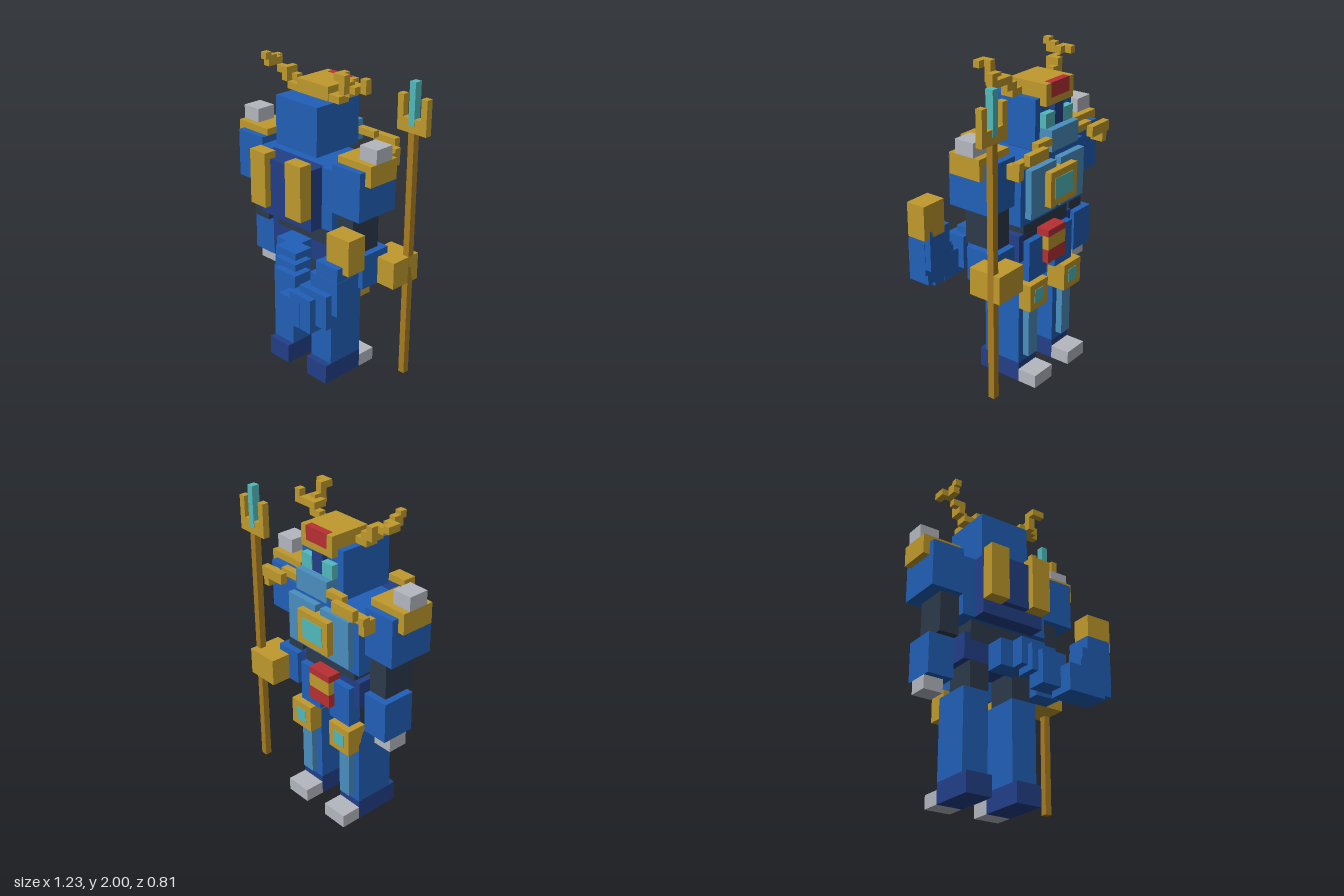
import * as THREE from 'three';

const U = 2 / 47; // one block

const paint = (name, color) => {
  const m = new THREE.MeshStandardMaterial({ color });
  m.name = name;
  return m;
};

export function createModel() {
  const model = new THREE.Group();
  model.name = 'armouredGuardian';

  const blue = paint('blue', 0x2160b8);
  const navy = paint('navy', 0x223f88);
  const charcoal = paint('charcoal', 0x2c3a4b);
  const gold = paint('gold', 0xc09a2c);
  const bronze = paint('bronze', 0xa87c20);
  const silver = paint('silver', 0xb4b8bf);
  const sky = paint('skyBlue', 0x4a8fc0);
  const teal = paint('teal', 0x52babd);
  const red = paint('red', 0xb83033);

  // Box between block coordinates; the body is centred on 0, its face looks to -z
  function box(name, mat, x0, x1, y0, y1, z0, z1) {
    const mesh = new THREE.Mesh(new THREE.BoxGeometry((x1 - x0) * U, (y1 - y0) * U, (z1 - z0) * U), mat);
    mesh.position.set(((x0 + x1) / 2 - 1.5) * U, ((y0 + y1) / 2) * U, ((z0 + z1) / 2 - 2.5) * U);
    mesh.name = name;
    model.add(mesh);
  }
  // The same box on both sides
  function pair(name, mat, x0, x1, ...rest) {
    box(name + 'Left', mat, x0, x1, ...rest);
    box(name + 'Right', mat, -x1, -x0, ...rest);
  }

  // Head and face
  box('head', blue, -4, 4, 35, 42, -4, 4);
  box('helmet', gold, -3, 3, 41, 44, -5, 1);
  box('helmetJewel', red, -2, 2, 42, 44.05, -5.05, -4);
  box('faceBridge', navy, -1, 1, 38, 41, -4.9, -4);
  pair('eye', teal, 1, 3, 38, 40, -5, -4);
  box('snout', sky, -3, 3, 35, 38, -6, -4);
  box('neck', charcoal, -2, 2, 34, 35, -2, 2);

  // Whiskers
  pair('whiskerRoot', gold, 3, 6, 36, 37, -6.05, -5);
  pair('whiskerMiddle', gold, 5, 9, 35, 36.5, -7, -6);
  pair('whiskerBend', gold, 8, 10, 34.5, 35.5, -6.1, -5);
  pair('whiskerTip', gold, 9, 10, 33, 35, -6, -4);

  // Antlers, stepping outward, up and back
  pair('antlerRoot', gold, 3, 5, 42, 43, -1, 0.9);
  pair('antlerStep', gold, 4, 6, 43, 44, -1, 0);
  box('antlerLeftBeam', gold, 5, 8, 44, 45, -1, 1);
  box('antlerLeftFork', gold, 6, 7, 45, 47, 1, 2);
  box('antlerLeftPoint', gold, 6, 8, 46, 47, 2, 3);
  box('antlerLeftProng', gold, 8, 9, 44, 46, -1, 0);
  box('antlerLeftLink', gold, 6, 7, 44, 45.5, 0, 2);
  box('antlerRightBeam', gold, -6, -5, 43, 45, -1, 1);
  box('antlerRightStep', gold, -7, -6, 44, 45, 0, 1);
  box('antlerRightFork', gold, -8, -7, 45, 46, 0, 2);
  box('antlerRightProng', gold, -9, -8, 45, 46, -1, 1);
  box('antlerRightPoint', gold, -8, -7, 46, 47, 2, 3);
  box('antlerRightLink', gold, -8, -7, 45, 46.5, 1, 2.5);

  // Torso with chest plates and emblem
  box('torso', blue, -7, 7, 25, 34, -4, 4);
  pair('chestPlate', sky, 0.5, 6, 26, 33, -5, -4);
  box('chestEmblem', gold, -3, 3, 27, 32, -6, -4);
  box('emblemPanel', teal, -2, 2, 28, 31, -6.08, -5.9);

  // Back shell
  box('backShell', navy, -5, 5, 25, 34, 3.5, 6);
  box('backRidge', navy, -2, 2, 27, 34, 6, 7);
  pair('backPlate', gold, 2, 5, 27, 35, 6, 8);

  // Waist and belt
  box('waist', charcoal, -5, 5, 22, 25, -3, 3);
  box('pelvis', navy, -6, 6, 19, 23, -3, 3);
  pair('hipPlate', blue, 1, 5, 16, 22, -4, -2);
  box('buckleTop', red, -2, 2, 22, 23, -5, -3);
  box('buckleMiddle', gold, -2, 2, 20, 22, -5, -3);
  box('buckleBottom', red, -2, 2, 18, 20, -5, -3);

  // Legs
  pair('thigh', charcoal, 2, 5, 15, 19, -2, 3);
  pair('leg', blue, 2, 6, 3, 15, -3, 3);
  pair('kneeGuard', gold, 2, 6, 12, 16, -5, -2);
  pair('kneePanel', teal, 3, 5, 13, 15, -5.08, -4.9);
  pair('shinPlate', sky, 3, 5, 4, 12, -4, -3);
  pair('foot', navy, 2, 6, 0, 3, -3, 4);
  pair('toe', silver, 2, 6, 0, 2, -6, -3);

  // Arms and shoulders
  pair('upperArm', blue, 7, 12, 28, 35, -3, 4);
  pair('shoulderPad', gold, 7, 13, 35, 36, -2, 3);
  pair('shoulderRim', gold, 12, 13, 33, 35, -2, 3);
  pair('shoulderStud', silver, 10, 13, 36, 38, -1, 2);
  pair('elbow', charcoal, 7, 10, 22, 28, -2, 3);
  box('forearmRight', blue, -11, -7, 16, 22, -3, 2);
  box('handRight', silver, -11, -8, 14, 16, -2, 1);
  box('forearmLeft', blue, 7, 11, 17, 22, -3, 2);
  box('fistLeft', gold, 9, 14, 17, 21, -6, -1);

  // Trident
  box('tridentStaff', bronze, 13, 14, 2, 39, -5, -4);
  box('tridentBase', gold, 11, 16, 39, 41, -5, -4);
  box('tridentProngInner', gold, 11, 12, 41, 44, -5, -4);
  box('tridentProngOuter', gold, 15, 16, 41, 44, -5, -4);
  box('tridentBlade', teal, 13, 14, 40, 47 - 1, -5.08, -3.92);

  // Tail curling to the left and upward
  [
    [-2, 2, 18, 22, 3, 6],
    [0, 4, 18, 22, 5, 8],
    [1, 5, 17, 21, 6, 9],
    [2, 6, 15, 20, 7, 10],
    [5, 9, 14, 18, 8, 12],
    [7, 11, 14, 19, 8.05, 11.95],
    [8, 13, 15, 20, 7.5, 11],
    [9, 14, 17, 22, 7, 10],
    [10, 13.95, 18, 24, 6, 9.95],
  ].forEach((s, i) => box('tailSegment' + (i + 1), blue, ...s));
  box('tailTip', gold, 11, 15, 23, 28, 6, 9);

  return model;
}
